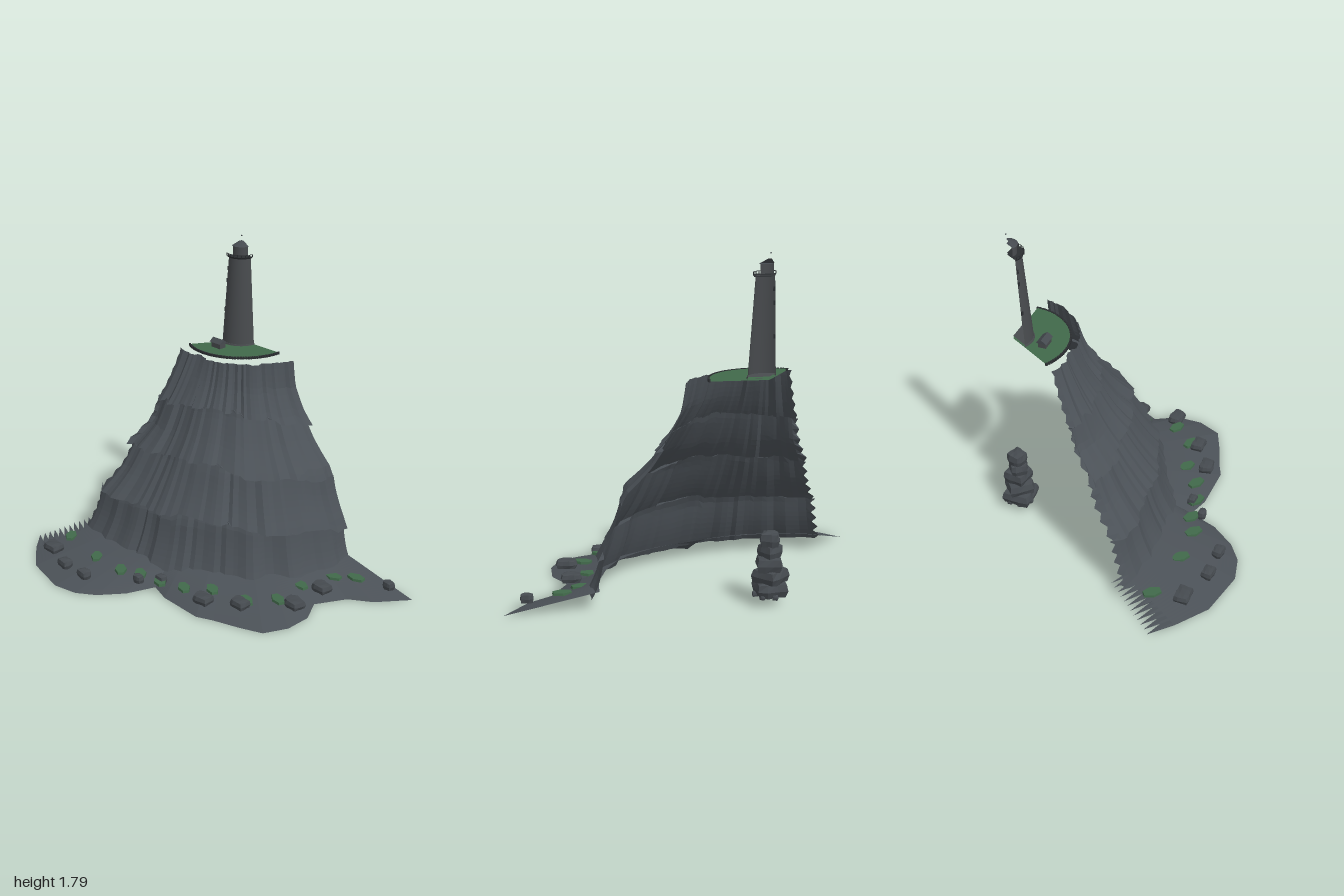
import * as THREE from 'three';

const CX = -0.335, CZ = -0.6;         // axis of the sector-shaped headland
const ARC = Math.PI * 2 / 3;          // it spans 120 degrees, from +x round past +z
const T0 = -Math.PI / 6;              // same sector in cylinder angles

const mat = (name, color, flat = true) => {
  const m = new THREE.MeshStandardMaterial({ color, flatShading: flat, side: THREE.DoubleSide });
  m.name = name;
  return m;
};

let seed = 7;
const rnd = () => {
  seed = (seed * 1664525 + 1013904223) % 4294967296;
  return seed / 4294967296;
};

// piecewise linear lookup in [[key, value], ...]
function lookup(table, k) {
  for (let i = 1; i < table.length; i++) {
    const [k0, v0] = table[i - 1], [k1, v1] = table[i];
    if (k <= k1) return v0 + (v1 - v0) * (k - k0) / (k1 - k0);
  }
  return table[table.length - 1][1];
}

// surface from rows of points, rows running inward/upward, columns by angle
function gridGeometry(rows, cols, point) {
  const pos = [], idx = [];
  for (let i = 0; i < rows; i++) {
    for (let j = 0; j < cols; j++) {
      const { a, r, y } = point(i, j);
      pos.push(r * Math.cos(a), y, r * Math.sin(a));
      if (i < rows - 1 && j < cols - 1) {
        const p = i * cols + j, q = p + cols;
        idx.push(p, q, p + 1, q, q + 1, p + 1);
      }
    }
  }
  const g = new THREE.BufferGeometry();
  g.setAttribute('position', new THREE.Float32BufferAttribute(pos, 3));
  g.setIndex(idx);
  g.computeVertexNormals();
  return g;
}

// rough boulder of full size w x h x d: block with rounded, jittered corners
function boulderGeometry(w, h, d) {
  const g = new THREE.BoxGeometry(1, 1, 1, 3, 2, 3), p = g.attributes.position;
  const v = new THREE.Vector3(), s = rnd() * 9;
  for (let i = 0; i < p.count; i++) {
    v.fromBufferAttribute(p, i);
    const k = 0.3 / Math.max(0.5, v.length()) + 0.4;
    const n = 1 + 0.07 * Math.sin(v.x * 7 + v.y * 11 + v.z * 5 + s);
    p.setXYZ(i, v.x * k * n * w, v.y * k * n * h, v.z * k * n * d);
  }
  g.computeVertexNormals();
  return g;
}

export function createModel() {
  const model = new THREE.Group();
  const land = new THREE.Group();
  land.name = 'headland';
  land.position.set(CX, 0, CZ);
  model.add(land);

  const rock = mat('rock', 0x4b5157);
  const boulderMat = mat('boulder', 0x454a4f);
  const green = mat('grass', 0x41694a);
  const plaster = mat('tower stone', 0x484b4e, false);
  const dark = mat('dark iron', 0x2b2e31);

  const add = (parent, name, geo, material, x = 0, y = 0, z = 0) => {
    const m = new THREE.Mesh(geo, material);
    m.name = name;
    m.position.set(x, y, z);
    parent.add(m);
    return m;
  };
  const sector = (r1, r0, h, seg = 16, open = false) =>
    new THREE.CylinderGeometry(r1, r0, h, seg, 1, open, T0, ARC);

  // cliff slope: radius by height, at several angles in degrees
  const levels = [0.06, 0.2, 0.33, 0.47, 0.6, 0.73, 0.87, 1, 1.145];
  const profiles = [
    [0, [0.885, 0.855, 0.82, 0.765, 0.725, 0.605, 0.5, 0.44, 0.415]],
    [35, [0.89, 0.85, 0.81, 0.745, 0.68, 0.575, 0.48, 0.42, 0.375]],
    [70, [0.82, 0.785, 0.755, 0.68, 0.61, 0.53, 0.455, 0.4, 0.345]],
    [90, [0.845, 0.795, 0.75, 0.67, 0.585, 0.52, 0.45, 0.39, 0.315]],
    [120, [0.92, 0.87, 0.83, 0.72, 0.65, 0.535, 0.48, 0.43, 0.365]],
  ].map(([deg, radii]) => [deg, radii.map((r, i) => [levels[i], r])]);
  const baseRadius = (deg, y) => lookup(profiles.map(([d, p]) => [d, lookup(p, y)]), deg);

  // four strata, each flaring to an overhanging ledge at its foot
  const heights = [0.06, 0.33, 0.6, 0.87, 1.145];
  const ledgeRise = [[0, -0.06], [30, -0.01], [65, 0.045], [90, 0.015], [120, -0.01]];
  const COLS = 49, PER = 10;
  const strata = heights.map(() => {
    const blocks = Array.from({ length: 17 }, () => rnd() - 0.5);
    return Array.from({ length: COLS }, (_, j) => ({
      r: blocks[Math.floor(j / 3)] * 0.036 + (rnd() - 0.5) * 0.018,
      rise: blocks[16 - Math.floor(j / 3)] * 0.024 + (rnd() - 0.5) * 0.008,
      shift: (rnd() - 0.5) * 0.02,
    }));
  });
  const ledgeY = (k, j, deg) => heights[k] +
    (k === 0 ? 0 : k === 4 ? strata[k][j].rise * 0.4 : lookup(ledgeRise, deg) + strata[k][j].rise);
  const cliff = gridGeometry(4 * PER, COLS, (i, j) => {
    const k = Math.floor(i / PER), t = (i % PER) / (PER - 1), s = strata[k][j];
    let a = j / (COLS - 1) * ARC;
    const deg = a * 180 / Math.PI;
    const y0 = ledgeY(k, j, deg), y1 = ledgeY(k + 1, j, deg) + (k < 3 ? 0.01 : 0);
    const y = y0 + (y1 - y0) * t;
    const flare = 0.02 * Math.pow(1 - t, 3) - 0.006 * Math.sin(t * Math.PI);
    if (j === COLS - 1) a += i % 2 ? 0.026 : -0.01;
    else if (j > 0) a += s.shift;
    return { a, y, r: baseRadius(deg, y) + flare + s.r * (1 - 0.4 * t) };
  });
  add(land, 'cliff', cliff, rock);

  // shore apron with a lobed outline and a ragged cut edge
  const outline = [[1, -0.6], [0.87, -0.43], [0.75, -0.35], [0.66, -0.18], [0.73, -0.05], [0.73, 0.1],
    [0.67, 0.23], [0.55, 0.28], [0.4, 0.33], [0.31, 0.37], [0.05, 0.36], [-0.07, 0.32], [-0.13, 0.48],
    [-0.23, 0.61], [-0.33, 0.68], [-0.47, 0.71], [-0.73, 0.65], [-0.9, 0.52], [-0.96, 0.44]]
    .map(([x, z]) => ({ a: Math.atan2(z - CZ, x - CX), r: Math.hypot(x - CX, z - CZ) }));
  const SHORE = 23;
  add(land, 'shore', gridGeometry(SHORE, outline.length, (i, j) => {
    const t = 1 - i / (SHORE - 1), o = outline[j];
    const inner = baseRadius(o.a * 180 / Math.PI, 0.06) - 0.03;
    let a = o.a;
    if (j === outline.length - 1) a += i % 2 ? -0.06 : 0.05;
    return { a, r: inner + (o.r - inner) * t, y: 0.1 * (1 - t) };
  }), rock);

  // shore boulders
  const stones = [[0.88, -0.54, 0.06], [0.64, -0.26, 0.1], [0.65, -0.03, 0.105], [0.45, 0.18, 0.095], [0.28, 0.29, 0.1],
    [-0.03, 0.31, 0.06], [-0.12, 0.4, 0.055], [-0.37, 0.58, 0.075], [-0.54, 0.58, 0.08], [-0.74, 0.51, 0.105]];
  for (const [x, z, s] of stones) {
    const b = add(model, 'shoreBoulder', boulderGeometry(s * 1.12, 0.052, s * 0.85), boulderMat, x, 0.066, z);
    b.rotation.y = (rnd() - 0.5) * 0.3;
  }

  // flat grass patches on the shore
  const patches = [[0.7, -0.48, 0.1], [0.6, -0.4, 0.2], [0.54, -0.2, -0.2], [0.56, 0, -0.4], [0.45, 0.13, -0.4], [0.24, 0.18, -0.5],
    [0.12, 0.28, -0.5], [-0.02, 0.33, -0.5], [-0.16, 0.35, -0.6], [-0.27, 0.4, -0.7], [-0.48, 0.4, -0.8], [-0.78, 0.35, -0.9]];
  for (const [x, z, turn] of patches) {
    const p = add(model, 'grassPatch', new THREE.CylinderGeometry(0.054, 0.057, 0.014, 6), green, x, 0.063, z);
    p.scale.z = 0.6;
    p.rotation.y = turn;
  }

  // grassy summit with a rim of small dark tufts
  add(land, 'summitGrass', sector(0.3, 0.3, 0.008, 28), green, 0, 1.16, 0);
  add(land, 'summitRim', sector(0.302, 0.3, 0.01, 28, true), dark, 0, 1.158, 0);
  for (let i = 0; i <= 40; i++) {
    const a = i / 40 * ARC;
    const tuft = add(land, 'rimTuft', new THREE.BoxGeometry(0.01, 0.014, 0.012), dark,
      0.3 * Math.cos(a), 1.16, 0.3 * Math.sin(a));
    tuft.rotation.y = -a;
  }

  // lighthouse, cut to the same sector
  const tower = new THREE.Group();
  tower.name = 'lighthouse';
  land.add(tower);
  add(tower, 'towerShaft', sector(0.073, 0.108, 0.51, 24, true), plaster, 0, 1.415, 0);
  add(tower, 'towerPlinth', sector(0.11, 0.113, 0.01, 24), plaster, 0, 1.168, 0);
  add(tower, 'gallery', sector(0.085, 0.08, 0.01), dark, 0, 1.67, 0);
  add(tower, 'galleryRail', sector(0.085, 0.085, 0.003, 16, true), dark, 0, 1.688, 0);
  for (let i = 0; i <= 8; i++) {
    const a = i / 8 * ARC;
    add(tower, 'railPost', new THREE.BoxGeometry(0.004, 0.016, 0.004), dark,
      0.085 * Math.cos(a), 1.681, 0.085 * Math.sin(a));
  }
  add(tower, 'lanternRoom', sector(0.05, 0.05, 0.052, 6, true), plaster, 0, 1.702, 0);
  add(tower, 'lanternRoof', sector(0.012, 0.058, 0.026, 6), boulderMat, 0, 1.741, 0);
  add(tower, 'finial', new THREE.SphereGeometry(0.004, 6, 4), boulderMat, 0, 1.782, 0);
  for (const y of [1.36, 1.53, 1.6]) {
    const r = 0.108 - (y - 1.16) * 0.0686, a = ARC - 0.06;
    add(tower, 'towerWindow', new THREE.BoxGeometry(0.006, 0.022, 0.01), dark,
      r * Math.cos(a), y, r * Math.sin(a)).rotation.y = -a;
  }

  // keeper's hut with a gabled roof
  const hut = new THREE.Group();
  hut.name = 'hut';
  hut.position.set(CX, 1.162, -0.42);
  model.add(hut);
  add(hut, 'hutWalls', new THREE.BoxGeometry(0.07, 0.032, 0.044), plaster, 0, 0.016, 0);
  const gable = new THREE.Shape([[-0.029, 0], [0.029, 0], [0, 0.022]].map(p => new THREE.Vector2(...p)));
  const roof = add(hut, 'hutRoof', new THREE.ExtrudeGeometry(gable, { depth: 0.084, bevelEnabled: false }),
    boulderMat, -0.042, 0.032, 0);
  roof.rotation.y = Math.PI / 2;

  // free-standing rock stack behind the cliff
  const stack = new THREE.Group();
  stack.name = 'seaStack';
  stack.position.set(-0.343, 0, -0.625);
  model.add(stack);
  [[0.085, 0.18, 0.085], [0.15, 0.16, 0.085], [0.215, 0.14, 0.085], [0.28, 0.11, 0.08], [0.342, 0.1, 0.085]]
    .forEach(([y, w, h], i) => {
      const b = add(stack, 'stackRock', boulderGeometry(w, h, w), boulderMat, (rnd() - 0.5) * 0.012, y, (rnd() - 0.5) * 0.012);
      b.rotation.y = i * 0.7;
    });
  for (let i = 0; i < 7; i++) {
    const a = i / 7 * Math.PI * 2;
    add(stack, 'stackRubble', boulderGeometry(0.032, 0.028, 0.032), boulderMat,
      0.073 * Math.cos(a), 0.056, 0.073 * Math.sin(a));
  }
  return model;
}
